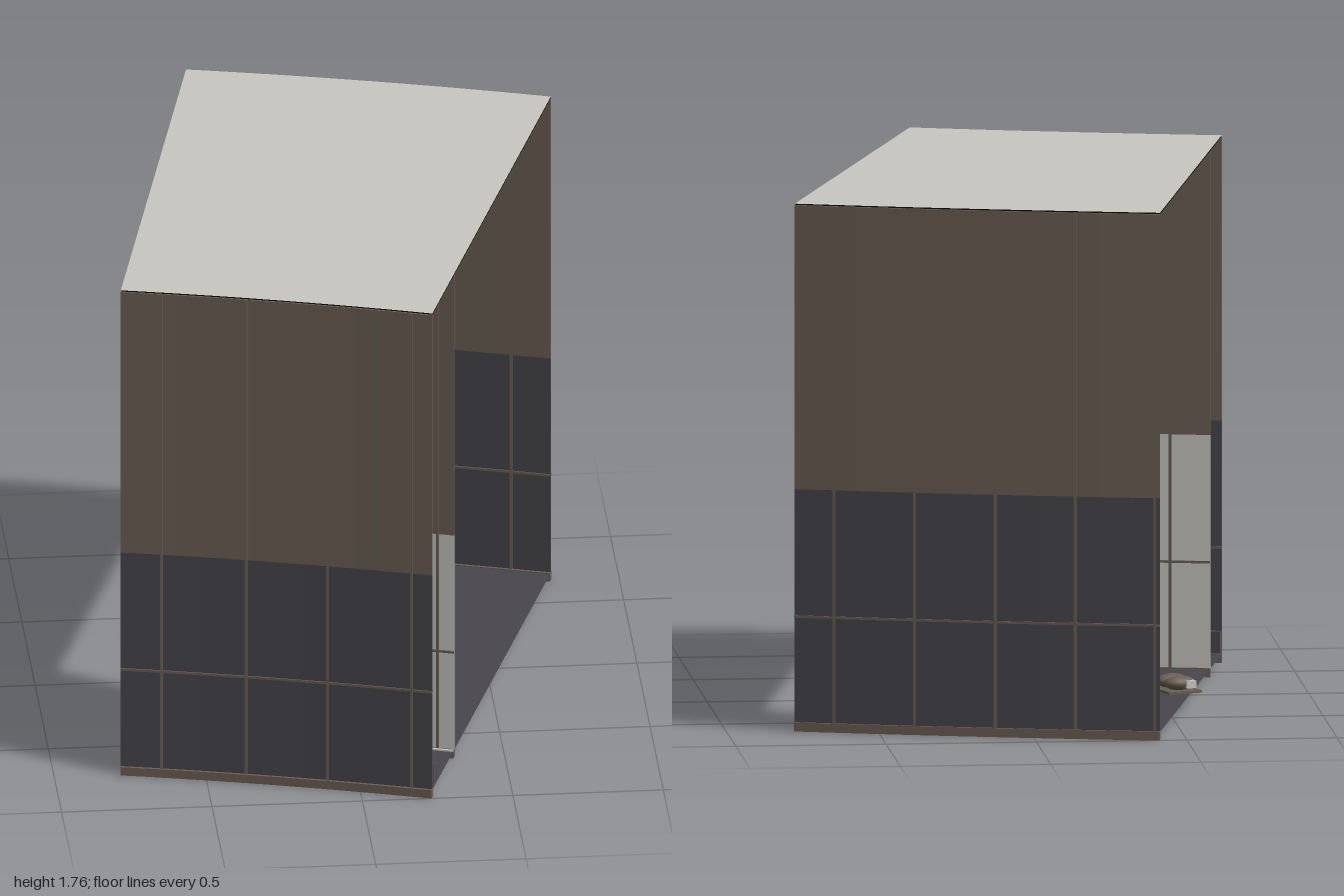
import * as THREE from 'three';

const mat = (name, hex, side = THREE.FrontSide) => {
  const m = new THREE.MeshStandardMaterial({ color: hex, side });
  m.name = name;
  return m;
};

// All walls follow arcs around one distant centre
const CX = -2.925, CZ = 10.725;
const T0 = 0.2113, T1 = 0.3137;
const R_BACK = 11.985, R_INNER = 10.558, R_FRONT = 10.235;
const TOP = 1.765, FLOOR = 0.027, SPLIT = 0.81;

const thetaAt = (x, r) => Math.asin((x - CX) / r);
const pos = (r, t, y) => new THREE.Vector3(CX + r * Math.sin(t), y, CZ - r * Math.cos(t));

// Plan outline between two radii and two angles
function sector(r0, r1, t0, t1, n = 12) {
  const pts = [];
  for (const [r, a, b] of [[r0, t0, t1], [r1, t1, t0]]) {
    for (let i = 0; i <= n; i++) {
      const p = pos(r, a + (b - a) * i / n, 0);
      pts.push(new THREE.Vector2(p.x, -p.z));
    }
  }
  return new THREE.Shape(pts);
}

export function createModel() {
  const brown = mat('bronze brown', 0x6b5f54);
  const glass = mat('dark glass', 0x47474d);
  const pale = mat('pale grey', 0xc8c7c1);
  const roofMat = mat('roof grey', 0xc8c7c1, THREE.DoubleSide);
  const floorMat = mat('floor grey', 0x48464d, THREE.DoubleSide);
  const black = mat('ceiling black', 0x060606, THREE.DoubleSide);

  const model = new THREE.Group();
  model.name = 'roomModule';
  const add = (parent, name, geo, material, x = 0, y = 0, z = 0) => {
    const m = new THREE.Mesh(geo, material);
    m.name = name;
    m.position.set(x, y, z);
    parent.add(m);
    return m;
  };
  const group = (name, x = 0, y = 0, z = 0) => {
    const g = new THREE.Group();
    g.name = name;
    g.position.set(x, y, z);
    model.add(g);
    return g;
  };

  // Curved slab standing between two heights
  const slab = (parent, name, r, thick, y0, y1, material) => {
    const geo = new THREE.ExtrudeGeometry(sector(r - thick / 2, r + thick / 2, T0, T1),
      { depth: y1 - y0, bevelEnabled: false });
    geo.rotateX(-Math.PI / 2);
    add(parent, name, geo, material, 0, y0, 0);
  };

  // Wall: base, glazing, upper panel, transom and mullions
  function wall(name, r, glazing, xs) {
    const g = group(name);
    slab(g, 'base', r, 0.024, 0, 0.03, brown);
    slab(g, 'glazing', r, 0.006, 0.03, SPLIT, glazing);
    slab(g, 'upperPanel', r, 0.008, SPLIT, TOP - 0.005, brown);
    slab(g, 'transom', r, 0.014, 0.38, 0.388, brown);
    for (const x of xs) {
      const t = thetaAt(x, r), p = pos(r, t, TOP / 2);
      const m = add(g, 'mullion', new THREE.BoxGeometry(0.009, TOP - 0.012, 0.014), brown, p.x, p.y, p.z);
      m.rotation.y = -t;
    }
  }
  wall('frontWall', R_FRONT, glass, [-0.645, -0.37, -0.105, 0.167]);
  wall('innerWall', R_INNER, pale, [0.28, 0.065, -0.15, -0.365, -0.58]);
  wall('backWall', R_BACK, glass, [0.645, 0.385, 0.125, -0.135, -0.395]);

  // Floor, ceiling and roof sheets
  const sheet = (name, y, material) => {
    const geo = new THREE.ShapeGeometry(sector(R_FRONT, R_BACK, T0, T1));
    geo.rotateX(-Math.PI / 2);
    add(model, name, geo, material, 0, y, 0);
  };
  sheet('floor', FLOOR, floorMat);
  sheet('ceiling', TOP - 0.004, black);
  sheet('roof', TOP, roofMat);

  // Pale sill in front of the inner wall
  slab(model, 'sill', R_INNER - 0.016, 0.008, 0.026, 0.032, pale);

  // Low wire rail behind the front wall
  const rail = group('lowRail');
  const rr = R_FRONT + 0.03;
  slab(rail, 'railTop', rr, 0.004, 0.106, 0.11, brown);
  slab(rail, 'railBottom', rr, 0.004, 0.028, 0.032, brown);
  for (const t of [T0, T1]) {
    const p = pos(rr, t, 0.069);
    add(rail, 'railPost', new THREE.BoxGeometry(0.004, 0.08, 0.004), brown, p.x, p.y, p.z);
  }

  // Stacked coil by the back wall
  const coil = group('coil', -0.125, 0, -0.695);
  for (let i = 0; i < 3; i++) {
    const ring = add(coil, 'coilLoop', new THREE.TorusGeometry(0.07, 0.0125, 8, 24), brown,
      0.004 * (i - 1), 0.039 + i * 0.024, 0);
    ring.rotation.x = Math.PI / 2;
  }

  // Pair of cushions on a thin mat by the open side
  const seat = group('cushions', -0.535, 0, -0.275);
  seat.rotation.y = 0.35;
  add(seat, 'mat', new THREE.BoxGeometry(0.12, 0.008, 0.14), brown, 0, 0.06, 0);
  for (const z of [-0.022, 0.04]) {
    const c = add(seat, 'cushion', new THREE.SphereGeometry(1, 14, 10), brown, 0, 0.086, z);
    c.scale.set(0.055, 0.024, 0.034);
  }
  add(seat, 'paleBox', new THREE.BoxGeometry(0.035, 0.025, 0.025), pale, -0.025, 0.084, -0.05);

  // Small cup, dark block and floor disc
  add(model, 'cup', new THREE.CylinderGeometry(0.016, 0.016, 0.026, 12), pale, 0.172, 0.162, -0.495);
  add(model, 'darkBlock', new THREE.BoxGeometry(0.025, 0.022, 0.03), black, 0.328, 0.158, -0.492);
  add(model, 'floorDisc', new THREE.CylinderGeometry(0.012, 0.012, 0.004, 12), black, 0.328, 0.029, -0.492);

  return model;
}
